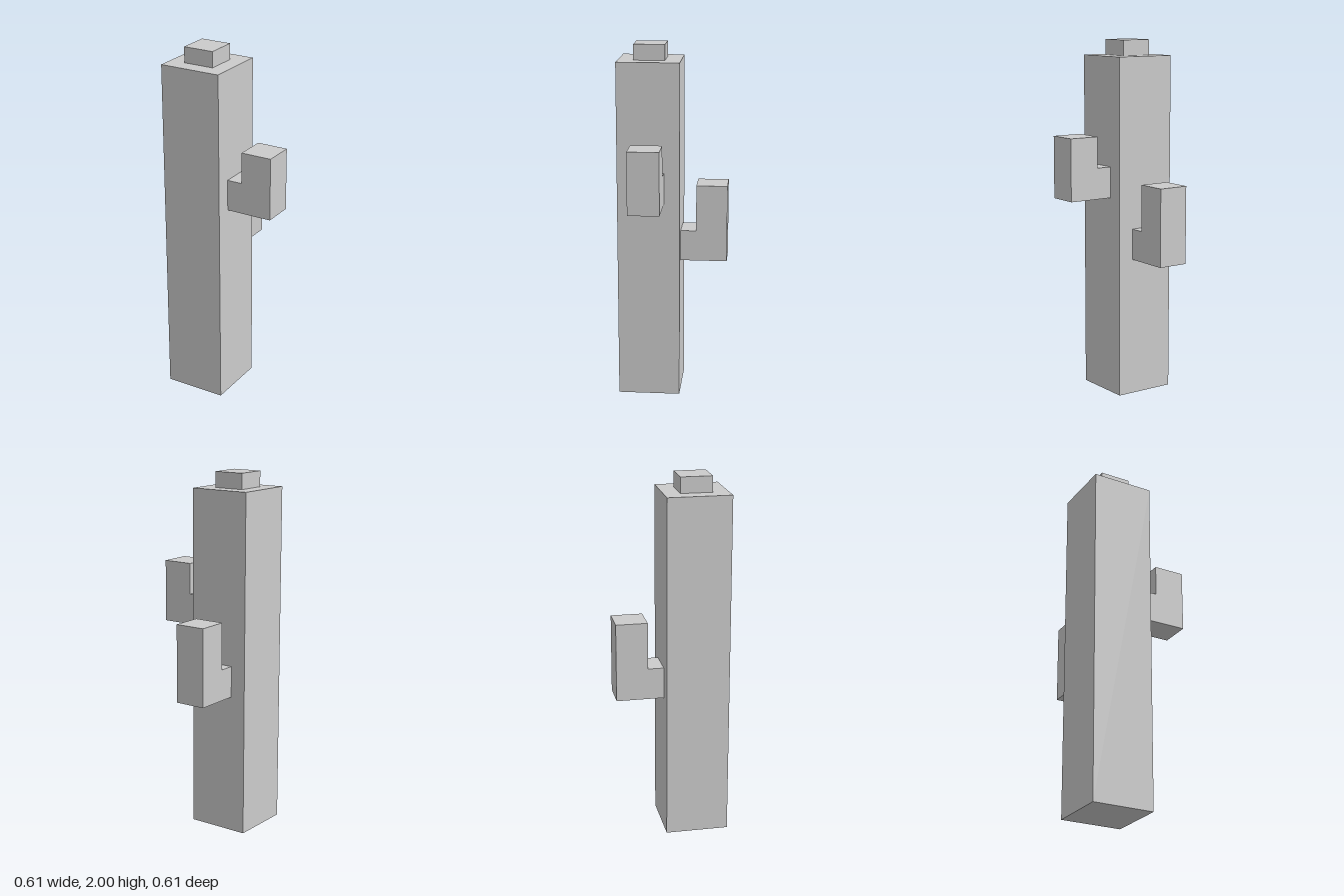
import * as THREE from 'three';

const U = 2 / 23; // one block unit; the whole plant is 23 units tall
const AXIS = 1.5 * U; // the trunk stands at x = -AXIS, z = +AXIS

export function createModel() {
  const model = new THREE.Group();
  model.name = 'blockCactus';
  const material = new THREE.MeshStandardMaterial({ color: 0xcccccc, flatShading: true });

  const add = (name, geometry) => {
    const mesh = new THREE.Mesh(geometry, material);
    mesh.name = name;
    model.add(mesh);
    return mesh;
  };

  // Square column, centred on the trunk axis
  const column = (name, width, bottom, height) =>
    add(name, new THREE.BoxGeometry(width * U, height * U, width * U))
      .position.set(-AXIS, (bottom + height / 2) * U, AXIS);

  // L-shaped arm: a short stub out of the trunk, then an upright block
  const arm = (name, bottom, height, turn) => {
    const outline = [[2, 0], [5, 0], [5, height], [3, height], [3, 2], [2, 2]];
    const shape = new THREE.Shape(outline.map(([x, y]) => new THREE.Vector2(x * U, y * U)));
    const geometry = new THREE.ExtrudeGeometry(shape, { depth: 2 * U, bevelEnabled: false });
    geometry.translate(0, 0, -U);
    const mesh = add(name, geometry);
    mesh.rotation.y = turn;
    mesh.position.set(-AXIS, bottom * U, AXIS);
  };

  column('trunk', 4, 0, 22);
  column('topBud', 2, 22, 1);
  arm('leftArm', 13, 4, 0);
  arm('backArm', 9, 5, Math.PI / 2);

  return model;
}
